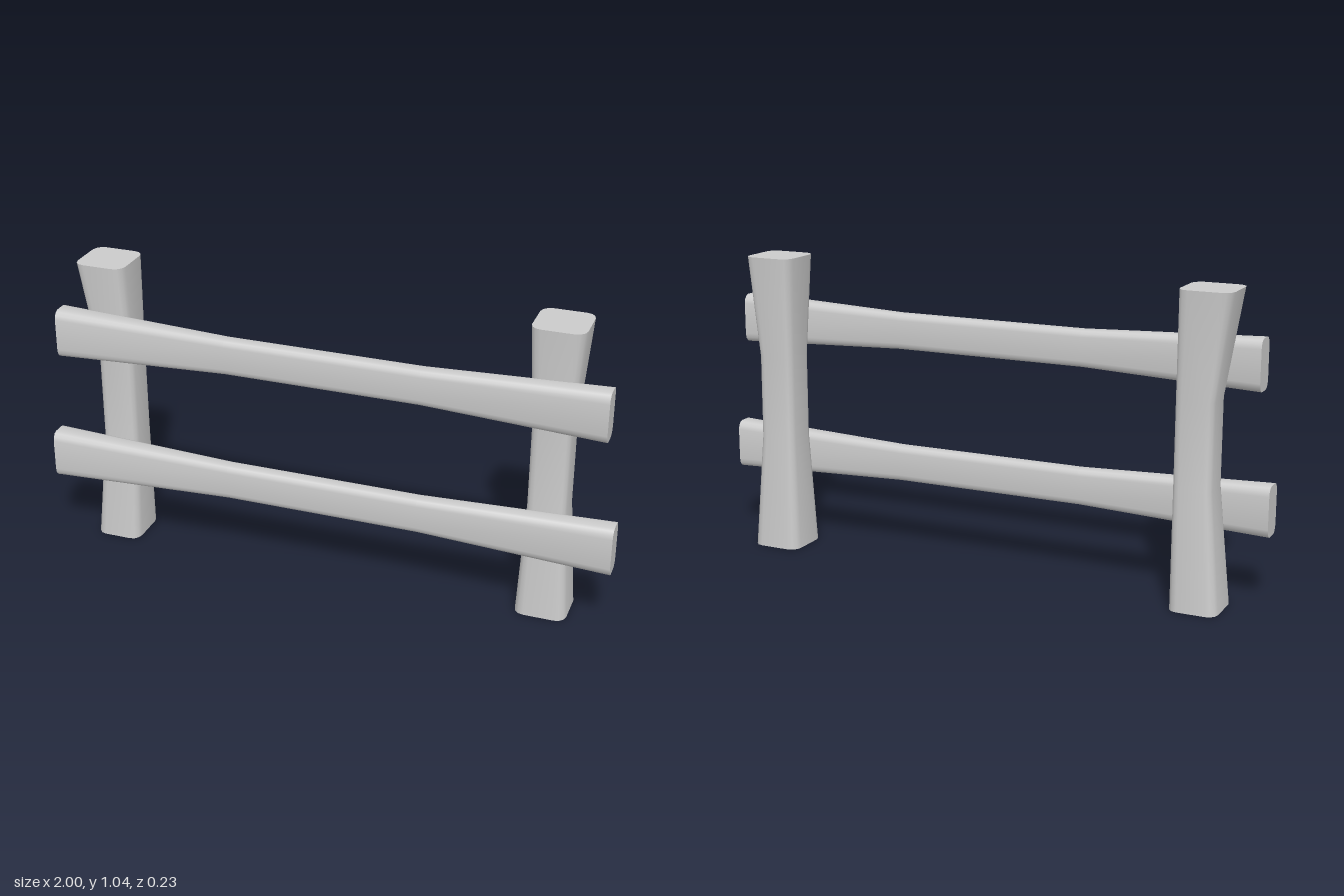
import * as THREE from 'three';
import { toCreasedNormals } from 'three/addons/utils/BufferGeometryUtils.js';

const material = new THREE.MeshStandardMaterial({ color: 0xcccccc });
const CORNER_STEPS = 3;

// Rounded rectangle outline, counter-clockwise in (u, v)
function outline(u0, u1, v0, v1, round) {
  const ru = (u1 - u0) * round[0], rv = (v1 - v0) * round[1];
  const corners = [[u1 - ru, v1 - rv], [u0 + ru, v1 - rv], [u0 + ru, v0 + rv], [u1 - ru, v0 + rv]];
  const points = [];
  corners.forEach(([u, v], q) => {
    for (let s = 0; s <= CORNER_STEPS; s++) {
      const a = (q + s / CORNER_STEPS) * Math.PI / 2;
      points.push([u + ru * Math.cos(a), v + rv * Math.sin(a)]);
    }
  });
  return points;
}

// Closed beam through stations [t, u0, u1, v0, v1]; place maps (t, u, v) to [x, y, z]
function beam(name, stations, round, place) {
  const rings = stations.map(([t, u0, u1, v0, v1]) =>
    outline(u0, u1, v0, v1, round).map(([u, v]) => place(t, u, v)));
  const pos = [];
  const tri = (a, b, c) => pos.push(...a, ...b, ...c);
  const n = rings[0].length;
  for (let i = 0; i < rings.length - 1; i++) {
    for (let j = 0; j < n; j++) {
      const k = (j + 1) % n, lo = rings[i], hi = rings[i + 1];
      tri(lo[j], lo[k], hi[j]);
      tri(lo[k], hi[k], hi[j]);
    }
  }
  // End caps
  const first = rings[0], last = rings[rings.length - 1];
  for (let j = 1; j < n - 1; j++) {
    tri(first[0], first[j + 1], first[j]);
    tri(last[0], last[j], last[j + 1]);
  }
  const geometry = new THREE.BufferGeometry();
  geometry.setAttribute('position', new THREE.Float32BufferAttribute(pos, 3));
  const mesh = new THREE.Mesh(toCreasedNormals(geometry, 0.7), material);
  mesh.name = name;
  return mesh;
}

// Upright post: waisted between y = 0.4 and 0.7; xs gives [min, max] at foot, waist, top
function post(name, [foot, waist, top]) {
  return beam(name, [
    [0, -0.115, 0.065, ...foot],
    [0.4, -0.091, 0.041, ...waist],
    [0.69, -0.089, 0.041, ...waist],
    [1.045, -0.115, 0.065, ...top],
  ], [0.2, 0.2], (t, u, v) => [v, t, u]);
}

// Horizontal rail: thick ends, slimmer middle
function rail(name, y, halfLength) {
  const end = [y - 0.086, y + 0.086, 0.03, 0.117];
  const middle = [y - 0.062, y + 0.062, 0.04, 0.102];
  return beam(name, [
    [-halfLength, ...end],
    [-0.34, ...middle],
    [0.34, ...middle],
    [halfLength, ...end],
  ], [0.18, 0.27], (t, u, v) => [t, u, v]);
}

export function createModel() {
  const group = new THREE.Group();
  group.name = 'fence';
  group.add(
    post('rightPost', [[-0.88, -0.717], [-0.843, -0.713], [-0.898, -0.72]]),
    post('leftPost', [[0.678, 0.855], [0.695, 0.827], [0.678, 0.855]]),
    rail('upperRail', 0.796, 0.955),
    rail('lowerRail', 0.323, 1),
  );
  return group;
}
